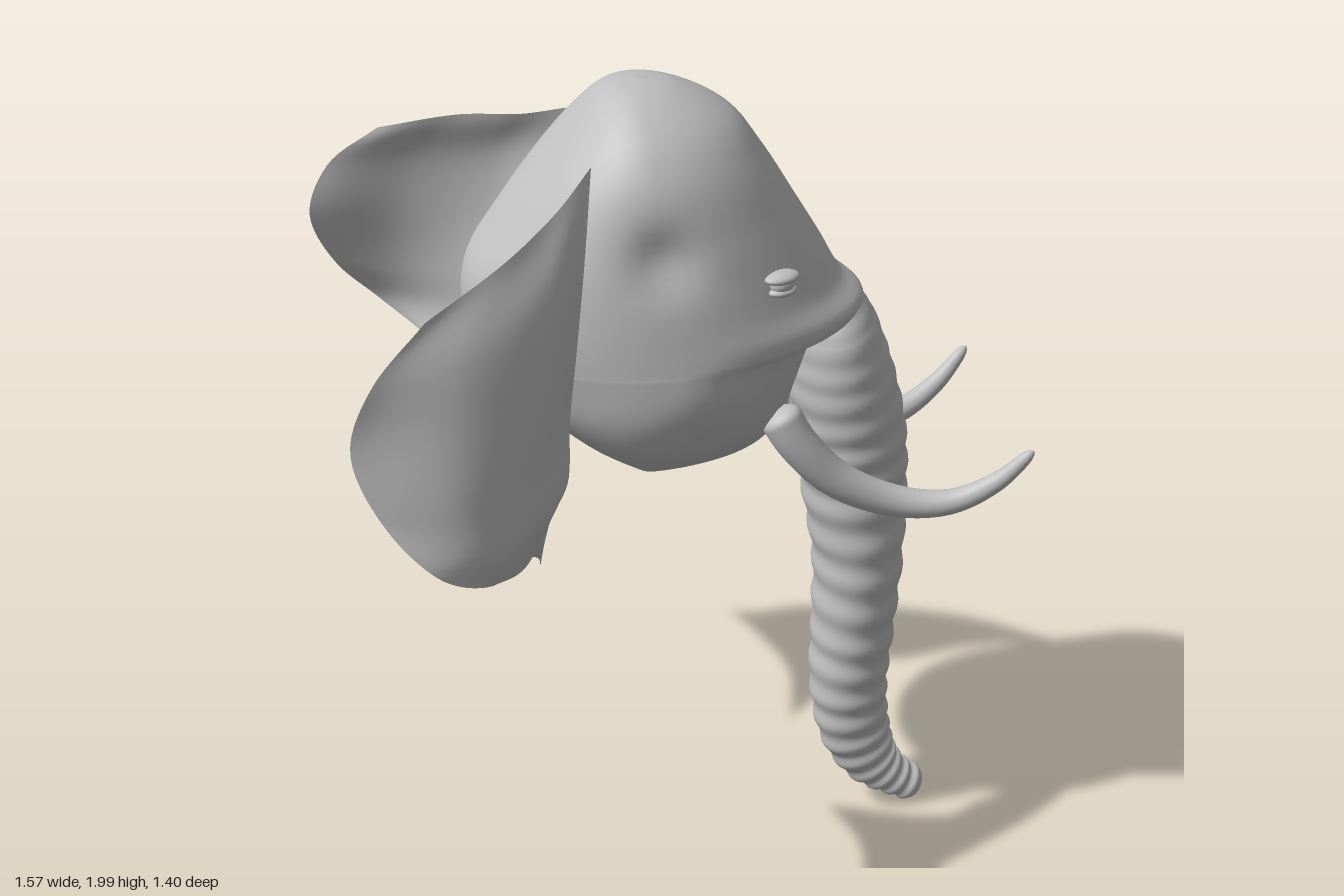
import * as THREE from 'three';

const V = (x, y, z) => new THREE.Vector3(x, y, z);
const hide = new THREE.MeshStandardMaterial({ color: 0xbfbfbf });
hide.name = 'greyClay';
const thinHide = hide.clone();
thinHide.side = THREE.DoubleSide;

// Surface through a grid of points; "closed" joins the last column to the first
function skin(rows, closed) {
  const n = rows[0].length, index = [];
  for (let i = 0; i < rows.length - 1; i++) {
    for (let j = 0; j < (closed ? n : n - 1); j++) {
      const k = (j + 1) % n, a = i * n + j, b = i * n + k;
      index.push(a, b, a + n, b, b + n, a + n);
    }
  }
  const geo = new THREE.BufferGeometry().setFromPoints(rows.flat());
  geo.setIndex(index);
  geo.computeVertexNormals();
  return geo;
}

const spline = (pts) => new THREE.CatmullRomCurve3(pts);

// Rounded tube through stations [x, y, z, radius in plane, radius sideways]
function sweep(stations, steps, round, ripple = () => 0) {
  const path = spline(stations.map((s) => V(s[0], s[1], s[2])));
  const size = spline(stations.map((s) => V(s[3], s[4], 0)));
  const rows = [];
  for (let i = 0; i <= steps; i++) {
    const t = i / steps, p = path.getPoint(t), r = size.getPoint(t);
    const T = path.getTangent(t), N = V(0, 0, 1).cross(T).normalize(), B = T.clone().cross(N);
    const k = Math.min(1, t / round, (1 - t) / round);
    const cap = Math.sqrt(Math.max(0, 1 - (1 - k) ** 2));
    const row = [];
    for (let j = 0; j < 36; j++) {
      const a = (j / 36) * Math.PI * 2, w = ripple(t);
      row.push(p.clone()
        .addScaledVector(N, Math.cos(a) * (r.x + w) * cap)
        .addScaledVector(B, Math.sin(a) * (r.y + w) * cap));
    }
    rows.push(row);
  }
  return skin(rows, true);
}

// Skull: stacked egg-shaped sections [y, back x, front x, half width]
function headGeometry() {
  const mid = -0.09;
  const sections = [
    [2.0, -0.09, -0.09, 0], [1.985, -0.16, 0.0, 0.085], [1.92, -0.23, 0.12, 0.19],
    [1.83, -0.31, 0.19, 0.255], [1.7, -0.41, 0.27, 0.292], [1.6, -0.475, 0.33, 0.31],
    [1.52, -0.49, 0.375, 0.323], [1.465, -0.48, 0.43, 0.33], [1.435, -0.47, 0.415, 0.333],
    [1.41, -0.455, 0.33, 0.335], [1.3, -0.385, 0.28, 0.33], [1.2, -0.28, 0.25, 0.285],
    [1.13, -0.17, 0.2, 0.2], [1.085, -0.12, 0.08, 0.1], [1.07, -0.09, -0.09, 0],
  ];
  const ends = spline(sections.map((s) => V(s[1], s[0], s[2])));
  const widths = spline(sections.map((s) => V(s[3], s[0], 0)));
  const dent = (x, y, cx, cy, r) => Math.exp(-((x - cx) ** 2 + (y - cy) ** 2) / (r * r));
  const rows = [];
  for (let i = 0; i <= 84; i++) {
    const e = ends.getPoint(i / 84), w = Math.max(0, widths.getPoint(i / 84).x);
    const row = [];
    for (let j = 0; j < 64; j++) {
      const a = (j / 64) * Math.PI * 2, c = Math.cos(a);
      const x = mid + c * (c > 0 ? e.z - mid : mid - e.x);
      // temple hollow, cheek bulge and jaw hollow
      const f = 1 - 0.1 * dent(x, e.y, -0.08, 1.68, 0.07)
        + 0.03 * dent(x, e.y, 0, 1.36, 0.09) - 0.05 * dent(x, e.y, 0.02, 1.22, 0.08);
      row.push(V(x, e.y, Math.sin(a) * w * f));
    }
    rows.push(row);
  }
  return skin(rows, true);
}

// Ear: curved sheet, rows from the top edge to the lower tip, inner to outer
function earGeometry(side) {
  const rows = [
    [[-0.22, 1.87, 0.18], [-0.31, 1.82, 0.29], [-0.44, 1.775, 0.43], [-0.62, 1.71, 0.55]],
    [[-0.25, 1.72, 0.28], [-0.35, 1.68, 0.42], [-0.52, 1.64, 0.54], [-0.74, 1.6, 0.61]],
    [[-0.28, 1.52, 0.335], [-0.37, 1.5, 0.48], [-0.56, 1.48, 0.6], [-0.79, 1.47, 0.63]],
    [[-0.3, 1.35, 0.345], [-0.39, 1.32, 0.51], [-0.55, 1.3, 0.64], [-0.735, 1.32, 0.67]],
    [[-0.31, 1.22, 0.37], [-0.38, 1.2, 0.5], [-0.5, 1.19, 0.63], [-0.63, 1.2, 0.7]],
    [[-0.34, 1.1, 0.31], [-0.38, 1.1, 0.41], [-0.44, 1.09, 0.52], [-0.52, 1.12, 0.62]],
    [[-0.35, 1.0, 0.25], [-0.365, 1.02, 0.3], [-0.39, 1.04, 0.36], [-0.42, 1.06, 0.42]],
    [[-0.355, 0.91, 0.2], [-0.357, 0.925, 0.21], [-0.36, 0.94, 0.22], [-0.37, 0.96, 0.24]],
  ];
  const across = rows.map((r) => spline(r.map((p) => V(p[0], p[1], p[2] * side))));
  const columns = [];
  for (let j = 0; j <= 24; j++) {
    columns.push(spline(across.map((c) => c.getPoint(j / 24))).getPoints(48));
  }
  return skin(columns, false);
}

export function createModel() {
  const model = new THREE.Group();
  model.name = 'elephantHead';
  const add = (name, geo, parent = model, material = hide) => {
    const mesh = new THREE.Mesh(geo, material);
    mesh.name = name;
    parent.add(mesh);
    return mesh;
  };

  add('head', headGeometry());

  // Trunk with ring folds that tighten toward the tip
  add('trunk', sweep([
    [0.34, 1.47, 0, 0.07, 0.12], [0.36, 1.38, 0, 0.105, 0.17], [0.385, 1.25, 0, 0.125, 0.177],
    [0.415, 1.1, 0, 0.13, 0.165], [0.43, 0.95, 0, 0.125, 0.15], [0.445, 0.75, 0, 0.108, 0.14],
    [0.44, 0.55, 0, 0.1, 0.12], [0.435, 0.38, 0, 0.095, 0.102], [0.455, 0.24, 0, 0.088, 0.085],
    [0.5, 0.14, 0, 0.072, 0.068], [0.56, 0.08, 0, 0.052, 0.055], [0.625, 0.037, 0, 0.042, 0.045],
  ], 220, 0.015, (t) => 0.0035 * Math.sin(t * 11 * 2 * Math.PI * 2) * Math.min(1, t * 3)));

  for (const side of [1, -1]) {
    const label = side > 0 ? 'left' : 'right';
    add(label + 'Ear', earGeometry(side), model, thinHide);

    // Tusk sweeping down, forward and up
    add(label + 'Tusk', sweep([
      [0.195, 1.25, 0.18, 0.05, 0.045], [0.245, 1.165, 0.195, 0.047, 0.042],
      [0.34, 1.065, 0.2, 0.044, 0.04], [0.48, 1.0, 0.21, 0.038, 0.035],
      [0.6, 1.0, 0.235, 0.03, 0.03], [0.7, 1.055, 0.26, 0.023, 0.023],
      [0.78, 1.14, 0.28, 0.013, 0.013],
    ].map(([x, y, z, a, b]) => [x, y, z * side, a, b]), 100, 0.05));

    // Eye with two lids
    const eye = new THREE.Group();
    eye.name = label + 'Eye';
    eye.position.set(0.188, 1.592, 0.242 * side);
    eye.rotation.y = 0.45 * side;
    model.add(eye);
    for (const [name, y, sx, sy, sz] of [
      ['eyeball', 0, 0.03, 0.024, 0.025],
      ['upperLid', 0.015, 0.044, 0.014, 0.029],
      ['lowerLid', -0.016, 0.036, 0.013, 0.027],
    ]) {
      const part = add(name, new THREE.SphereGeometry(1, 24, 16), eye);
      part.scale.set(sx, sy, sz);
      part.position.y = y;
    }
  }
  return model;
}
